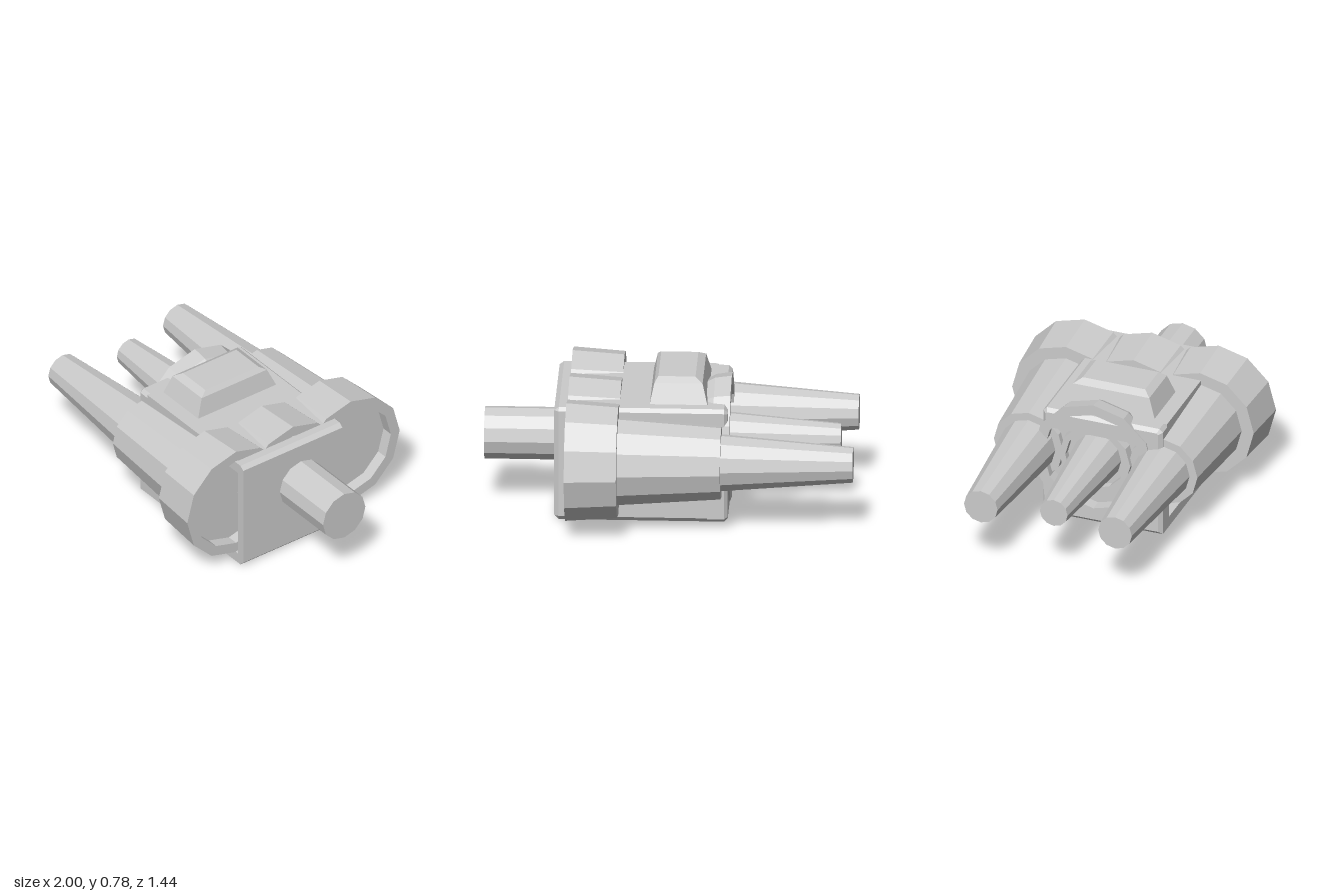
import * as THREE from 'three';
import { ConvexGeometry } from 'three/addons/geometries/ConvexGeometry.js';

const AXIS_Y = 0.385;
const material = new THREE.MeshStandardMaterial({ color: 0xcccccc, flatShading: true, side: THREE.DoubleSide });

function add(group, name, geometry, x = 0, y = 0, z = 0) {
  const mesh = new THREE.Mesh(geometry, material);
  mesh.name = name;
  mesh.position.set(x, y, z);
  group.add(mesh);
  return mesh;
}

// Twelve-sided turned part along x, from [radius, x] points
function turned(points) {
  const geometry = new THREE.LatheGeometry(points.map(([r, x]) => new THREE.Vector2(r, x)), 12);
  return geometry.rotateZ(-Math.PI / 2);
}

// Convex block from rectangles [x0, x1, y, z0, z1] stacked in y
function stackedBlock(levels) {
  const points = [];
  for (const [x0, x1, y, z0, z1] of levels)
    for (const x of [x0, x1]) for (const z of [z0, z1]) points.push(new THREE.Vector3(x, y, z));
  return new ConvexGeometry(points);
}

function polygon(points) {
  return new THREE.Shape(points.map(([x, y]) => new THREE.Vector2(x, y)));
}

export function createModel() {
  const model = new THREE.Group();
  model.name = 'engineBlock';

  // Housing core with chamfered outer edges
  add(model, 'housingCore', stackedBlock([
    [-0.24, 0.59, 0, -0.28, 0.31],
    [-0.24, 0.615, 0.025, -0.28, 0.31],
    [-0.24, 0.59, 0.025, -0.3, 0.31],
    [-0.24, 0.615, 0.63, -0.28, 0.31],
    [-0.24, 0.59, 0.63, -0.3, 0.31],
    [-0.24, 0.59, 0.65, -0.28, 0.31],
  ]));

  // Frame around the recessed front panel
  const frame = polygon([[-0.24, 0], [0.59, 0], [0.615, 0.025], [0.615, 0.63], [0.59, 0.65], [-0.24, 0.65]]);
  frame.holes.push(polygon([[-0.239, 0.06], [-0.239, 0.59], [0.57, 0.59], [0.57, 0.06]]));
  add(model, 'frontFrame', new THREE.ExtrudeGeometry(frame, { depth: 0.09, bevelEnabled: false }), 0, 0, 0.3);

  // End plate with a round opening for the middle engine
  const plate = polygon([[-0.39, 0], [0.28, 0], [0.3, 0.02], [0.3, 0.63], [0.28, 0.65], [-0.37, 0.65], [-0.39, 0.63]]);
  const opening = [];
  for (let i = 0; i < 12; i++) {
    const a = (i * Math.PI) / 6;
    opening.push([0.29 * Math.cos(a), AXIS_Y + 0.29 * Math.sin(a)]);
  }
  plate.holes.push(polygon(opening));
  const plateGeometry = new THREE.ExtrudeGeometry(plate, {
    depth: 0.09, bevelThickness: 0.02, bevelSize: 0.02, bevelOffset: -0.02, bevelSegments: 1,
  }).rotateY(Math.PI / 2);
  add(model, 'endPlate', plateGeometry, -0.3);

  // Raised hatch on the roof
  add(model, 'roofHatch', stackedBlock([
    [-0.21, 0.105, 0.64, -0.225, 0.31],
    [-0.18, 0.08, 0.755, -0.175, 0.265],
    [-0.14, 0.06, 0.78, -0.135, 0.225],
  ]));

  // Shared flared collar, hollow at its +x end
  const collar = [[0.24, 0.265], [0.31, 0.265], [0.33, 0.545], [0.27, 0.545], [0.27, 0.48], [0, 0.48]];

  // Outer engines with tapered barrels
  for (const [name, z] of [['frontEngine', 0.385], ['rearEngine', -0.39]]) {
    add(model, name, turned([
      [0, -1], [0.097, -1], [0.155, -0.29], [0.2, -0.29], ...collar,
    ]), 0, AXIS_Y, z);
  }

  // Middle engine, with nested rims around its barrel
  add(model, 'middleEngine', turned([
    [0, -0.92], [0.08, -0.92], [0.137, -0.27], [0.17, -0.27], [0.17, -0.31], [0.205, -0.31],
    [0.21, -0.26], [0.29, -0.26], [0.29, -0.33], [0.35, -0.33], [0.337, -0.24], [0.315, -0.2],
    [0.2, -0.2], ...collar,
  ]), 0, AXIS_Y, 0);

  // Plain shaft leaving the opposite end
  add(model, 'shaft', turned([[0, 0.58], [0.143, 0.58], [0.143, 1], [0, 1]]), 0, AXIS_Y, 0);

  return model;
}
